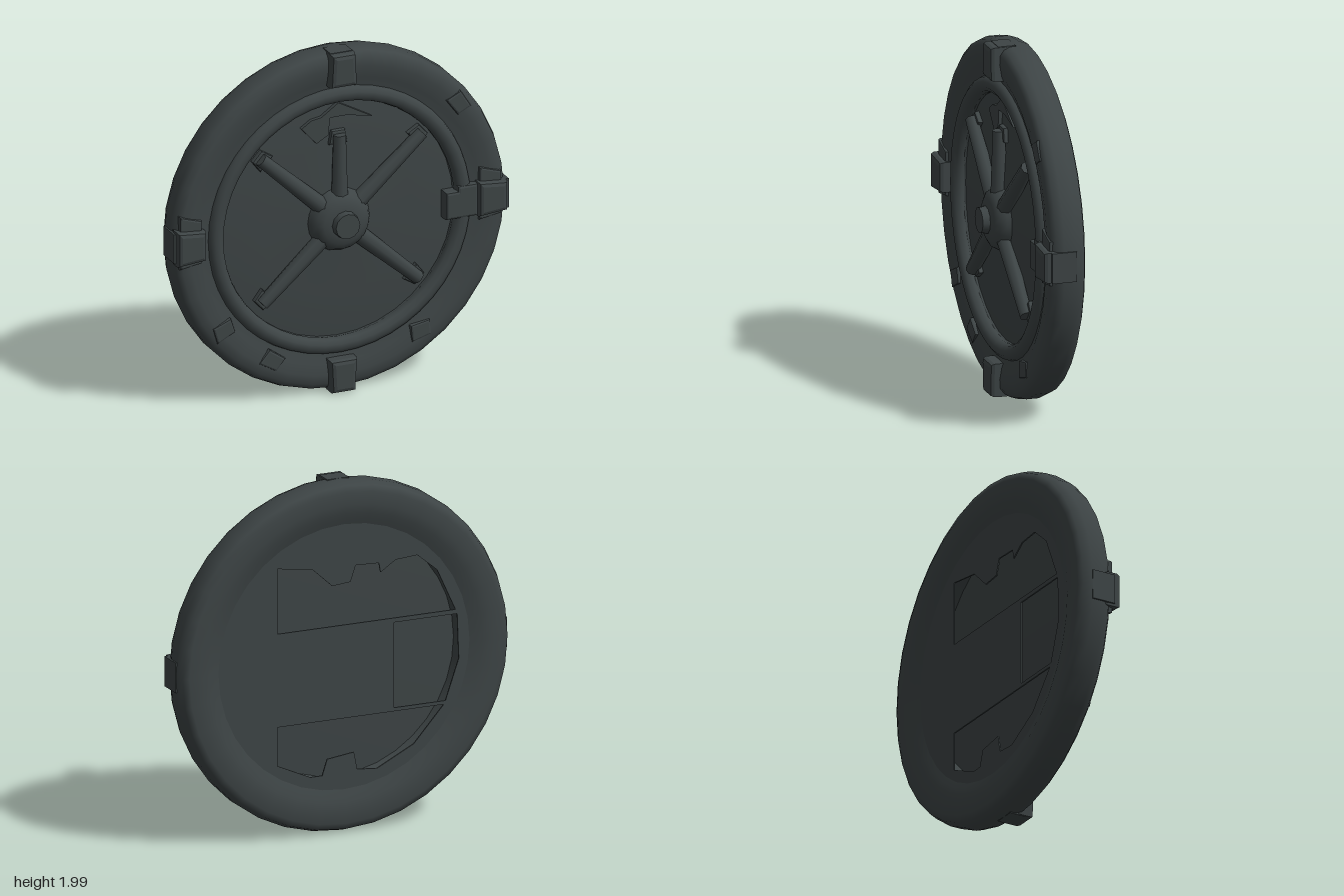
import * as THREE from 'three';

export function createModel() {
  const group = new THREE.Group();
  group.name = 'roundHatch';
  // Everything is built around the hatch centre, facing +z
  const hatch = new THREE.Group();
  hatch.name = 'hatch';
  hatch.position.y = 1;
  group.add(hatch);

  const iron = new THREE.MeshStandardMaterial({ color: 0x3d4445 });
  iron.name = 'darkIron';

  const add = (name, geometry, x = 0, y = 0, z = 0) => {
    const mesh = new THREE.Mesh(geometry, iron);
    mesh.name = name;
    mesh.position.set(x, y, z);
    hatch.add(mesh);
    return mesh;
  };
  const vectors = points => points.map(p => new THREE.Vector2(...p));
  // Lathe whose axis points to the front; points are [radius, z]
  const turned = (name, points, segments) => add(name,
    new THREE.LatheGeometry(vectors(points), segments).rotateX(Math.PI / 2));
  // Bevelled slab from an outline, spanning z0 to z1
  const slab = (points, z0, z1, bevel) => new THREE.ExtrudeGeometry(new THREE.Shape(vectors(points)),
    { depth: z1 - z0 - bevel, bevelEnabled: bevel > 0, bevelSize: bevel, bevelOffset: -bevel,
      bevelThickness: bevel, bevelSegments: 2 }).translate(0, 0, z0);

  // Heavy outer rim, rolling gently inwards at the back
  turned('outerRim', [
    [0.72, -0.1], [0.75, -0.114], [0.785, -0.124], [0.82, -0.138], [0.87, -0.147], [0.94, -0.145], [0.975, -0.13],
    [0.993, -0.08], [0.993, -0.01], [0.98, 0.03], [0.95, 0.052], [0.9, 0.056], [0.83, 0.045],
    [0.79, 0.03], [0.7, 0.02], [0.69, 0], [0.7, -0.04], [0.72, -0.1],
  ], 36);

  // Raised ring around the recess
  add('innerRing', new THREE.TorusGeometry(0.735, 0.047, 10, 48), 0, 0, 0.02);

  // Front panel, swelling slightly towards the hub
  turned('frontPanel', [[0, -0.03], [0.72, -0.03], [0.72, -0.005], [0.45, 0], [0.2, 0.02], [0, 0.025]], 40);

  // Thin back plate with three openings onto the panel
  const plate = new THREE.Shape().absarc(0, 0, 0.76, 0, Math.PI * 2, false);
  const openings = [
    [[0.4, 0.18], [0.4, 0.55], [0.19, 0.52], [0.07, 0.41], [-0.04, 0.42], [-0.07, 0.51],
      [-0.21, 0.505], [-0.22, 0.45], [-0.31, 0.51], [-0.44, 0.52], [-0.56, 0.42], [-0.67, 0.18]],
    [[-0.3, 0.155], [-0.68, 0.155], [-0.69, -0.1], [-0.61, -0.33], [-0.3, -0.33]],
    [[0.4, -0.35], [-0.6, -0.35], [-0.42, -0.55], [-0.2, -0.66], [-0.08, -0.65], [-0.06, -0.55],
      [0.1, -0.57], [0.13, -0.66], [0.2, -0.66], [0.4, -0.57]],
  ];
  for (const outline of openings) plate.holes.push(new THREE.Path(vectors(outline)));
  add('backPlate', new THREE.ExtrudeGeometry(plate, { depth: 0.008, bevelEnabled: false, curveSegments: 40 }),
    0, 0, -0.115);

  // Five locking arms with small end feet: [end x, end y]
  for (const [x, y] of [[0, 0.5], [0.49, 0.43], [-0.47, 0.43], [0.47, -0.42], [-0.46, -0.42]]) {
    const length = Math.hypot(x, y);
    const arm = new THREE.Group();
    arm.name = 'lockingArm';
    arm.rotation.z = Math.atan2(-x, y);
    const bar = new THREE.Mesh(new THREE.CylinderGeometry(0.037, 0.05, length - 0.1, 8), iron);
    bar.name = 'armBar';
    bar.position.set(0, (length + 0.1) / 2, 0.035);
    const foot = new THREE.Mesh(slab([[-0.055, -0.04], [0.055, -0.04], [0.04, 0.04], [-0.04, 0.04]], 0, 0.03, 0.01), iron);
    foot.name = 'armFoot';
    foot.position.set(0, length - 0.02, -0.005);
    arm.add(bar, foot);
    hatch.add(arm);
  }

  // Domed hub and knob
  turned('hub', [[0.19, 0], [0.175, 0.045], [0.155, 0.08], [0.12, 0.1], [0.075, 0.11], [0, 0.112]], 20);
  add('hubKnob', new THREE.CylinderGeometry(0.072, 0.08, 0.06, 12).rotateX(Math.PI / 2), 0, 0, 0.12);

  // Torn plate above the upper arm
  add('tornPlate', slab([[-0.22, 0.56], [-0.13, 0.46], [-0.06, 0.5], [-0.05, 0.6], [0.05, 0.6], [0.2, 0.57],
    [0, 0.68], [-0.1, 0.61], [-0.16, 0.6]], -0.005, 0.02, 0));

  // Clamps gripping the rim at top and bottom
  const clampOutline = [[-0.08, -0.1], [0.08, -0.1], [0.07, 0.09], [-0.07, 0.09]];
  for (const side of [1, -1]) {
    const clamp = add('rimClamp', slab(clampOutline, 0.02, 0.11, 0.025), 0, side * 0.9, 0);
    if (side < 0) clamp.rotation.z = Math.PI;
    add('clampStrap', new THREE.BoxGeometry(0.13, 0.05, 0.1), 0, side * 0.968, 0.01);
  }

  // Wider side clamps with straps over the edge
  for (const side of [1, -1]) {
    add('sideClamp', slab([[-0.09, -0.1], [0.08, -0.085], [0.08, 0.085], [-0.09, 0.1]], 0.02, 0.105, 0.025),
      side * 0.895, 0, 0);
    add('sideClampPlate', slab([[-0.07, -0.13], [0.06, -0.11], [0.06, 0.14], [-0.07, 0.18]], 0.02, 0.066, 0.012),
      side * 0.89, 0, 0);
    add('sideStrap', new THREE.BoxGeometry(0.05, 0.17, 0.14), side * 0.97, 0, -0.01);
  }

  // Hinge lug inside the ring
  add('hingeLug', slab([[-0.09, -0.1], [0.1, -0.1], [0.1, 0.09], [-0.02, 0.09], [-0.02, 0.06], [-0.09, 0.06]],
    0, 0.07, 0.015), 0.71, 0, 0);

  // Worn lugs on the front of the rim: [x, y, turn]
  for (const [x, y, turn] of [[-0.7, -0.53, 0.6], [0.47, -0.72, 0.4], [-0.41, -0.75, -0.4], [0.7, 0.58, -0.8]]) {
    add('rimLug', slab([[-0.07, -0.04], [0.05, -0.055], [0.075, 0.03], [-0.04, 0.055]], 0.02, 0.062, 0.012), x, y, 0)
      .rotation.z = turn;
  }

  return group;
}
